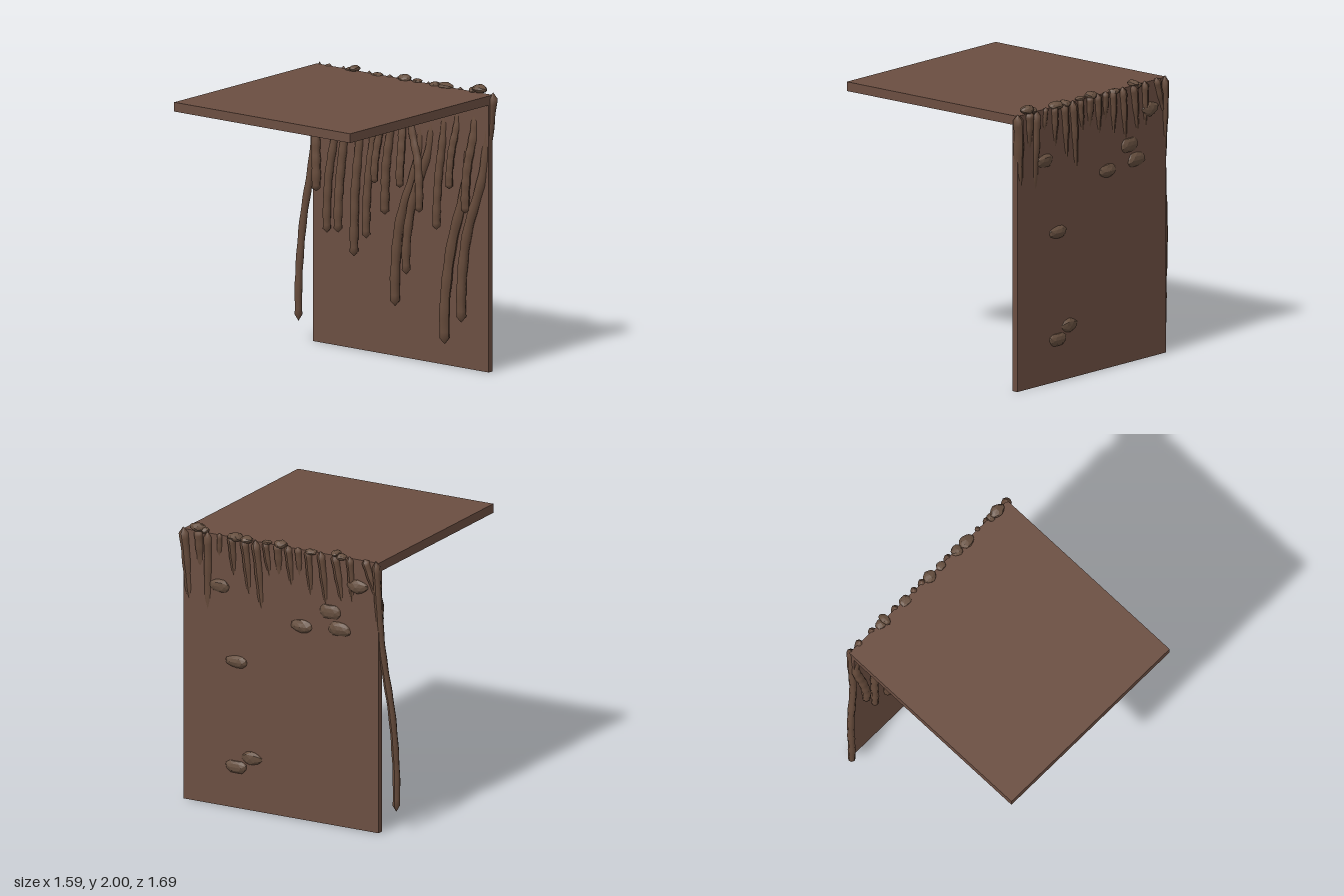
import * as THREE from 'three';

const boardMat = new THREE.MeshStandardMaterial({ color: 0x6b4e41 });
boardMat.name = 'earth brown';
const rootMat = new THREE.MeshStandardMaterial({ color: 0x664b3b });
rootMat.name = 'root brown';
const stoneMat = new THREE.MeshStandardMaterial({ color: 0x664f3f });
stoneMat.name = 'stone brown';

function add(parent, name, geometry, material) {
  const mesh = new THREE.Mesh(geometry, material);
  mesh.name = name;
  parent.add(mesh);
  return mesh;
}

// Tube along a curve whose radius swells from r0 to r1 and rounds off at both ends
function rootGeometry(points, r0, r1) {
  const curve = new THREE.CatmullRomCurve3(points);
  const rings = 40, sides = 8;
  const length = curve.getLength();
  const geo = new THREE.TubeGeometry(curve, rings, 1, sides, false);
  const pos = geo.attributes.position;
  const v = new THREE.Vector3();
  for (let i = 0; i <= rings; i++) {
    const t = i / rings;
    const c = curve.getPointAt(t);
    const r = r0 + (r1 - r0) * Math.min(1, t * 2);
    const d = Math.min(1, Math.min(t, 1 - t) * length / r);
    const radius = r * Math.sqrt(Math.max(0, 1 - (1 - d) ** 2)) * (1 + 0.06 * Math.sin(i * 1.3));
    for (let j = 0; j <= sides; j++) {
      const k = i * (sides + 1) + j;
      v.fromBufferAttribute(pos, k).sub(c).multiplyScalar(radius).add(c);
      pos.setXYZ(k, v.x, v.y, v.z);
    }
  }
  geo.computeVertexNormals();
  return geo;
}

// Irregular faceted pebble, deformed by a smooth rule so its seams stay closed
function stoneGeometry(seed) {
  const geo = new THREE.IcosahedronGeometry(1, 1);
  const pos = geo.attributes.position;
  for (let i = 0; i < pos.count; i++) {
    const x = pos.getX(i), y = pos.getY(i), z = pos.getZ(i);
    const s = 1 + 0.09 * Math.sin(3 * x + seed * 2.1) * Math.cos(4 * y + seed) + 0.06 * Math.sin(5 * z + seed * 3.7);
    pos.setXYZ(i, x * s, y * s, z * s);
  }
  geo.computeVertexNormals();
  return geo;
}

export function createModel() {
  const model = new THREE.Group();
  model.name = 'rootedLedge';

  // Ground slab and side wall
  const slab = add(model, 'topSlab', new THREE.BoxGeometry(1.55, 0.065, 1.55), boardMat);
  slab.position.set(-0.025, 1.9075, 0.035);
  const wall = add(model, 'sideWall', new THREE.BoxGeometry(0.045, 1.939, 1.549), boardMat);
  wall.position.set(0.7275, 0.9695, 0.035);

  // Roots: top z, middle z, end z, end y, top radius, end radius
  const roots = [
    [0.81, 0.74, 0.61, 0.33, 0.034, 0.034],
    [0.69, 0.67, 0.64, 1.1, 0.032, 0.03],
    [0.615, 0.61, 0.47, 0.16, 0.028, 0.036],
    [0.52, 0.53, 0.5, 1.25, 0.018, 0.026],
    [0.43, 0.4, 0.39, 0.95, 0.028, 0.028],
    [0.33, 0.26, 0.13, 0.6, 0.03, 0.03],
    [0.24, 0.16, 0.02, 0.36, 0.03, 0.034],
    [0.16, 0.12, 0.24, 1.05, 0.024, 0.028],
    [0.06, 0.05, 0.07, 1.2, 0.03, 0.028],
    [-0.02, -0.06, -0.07, 0.99, 0.028, 0.03],
    [-0.1, -0.12, -0.15, 1.2, 0.024, 0.026],
    [-0.18, -0.21, -0.23, 0.8, 0.027, 0.028],
    [-0.28, -0.34, -0.34, 0.66, 0.028, 0.03],
    [-0.39, -0.47, -0.47, 0.81, 0.03, 0.03],
    [-0.51, -0.54, -0.58, 0.79, 0.026, 0.028],
    [-0.63, -0.75, -0.67, 1.07, 0.027, 0.032],
    [-0.72, -0.75, -0.82, 0.14, 0.028, 0.026],
  ];
  const rootGroup = new THREE.Group();
  rootGroup.name = 'roots';
  model.add(rootGroup);
  roots.forEach(([z0, z1, z2, yEnd, r0, r1], i) => {
    const top = 1.955, drop = top - yEnd;
    const y = (f) => top - drop * f;
    const endX = 0.655 + 0.008 * Math.sin(i * 2.3);
    add(rootGroup, 'root', rootGeometry([
      new THREE.Vector3(0.755, top, z0),
      new THREE.Vector3(0.748, y(0.1), z0 + (z1 - z0) * 0.25),
      new THREE.Vector3(0.712, y(0.35), z0 + (z1 - z0) * 0.75),
      new THREE.Vector3(0.675, y(0.62), z1 + (z2 - z1) * 0.75),
      new THREE.Vector3(endX, y(0.85), z2),
      new THREE.Vector3(endX, yEnd, z2),
    ], r0, r1), rootMat);
  });

  // Stones: z, y, half depth, half height, half width
  const stones = [
    // set into the outer wall
    [0.52, 1.575, 0.082, 0.05, 0.034], [-0.57, 1.745, 0.088, 0.053, 0.036],
    [-0.355, 1.53, 0.09, 0.053, 0.034], [-0.13, 1.39, 0.092, 0.05, 0.034],
    [-0.425, 1.415, 0.094, 0.053, 0.034], [0.385, 1.05, 0.09, 0.05, 0.034],
    [0.27, 0.375, 0.086, 0.05, 0.034], [0.39, 0.295, 0.088, 0.05, 0.034],
    // along the top edge
    [0.7, 1.968, 0.062, 0.03, 0.042], [0.64, 1.95, 0.026, 0.024, 0.03],
    [0.4, 1.943, 0.06, 0.03, 0.045], [0.31, 1.937, 0.045, 0.028, 0.042],
    [0.15, 1.946, 0.036, 0.016, 0.032], [0.04, 1.95, 0.052, 0.028, 0.043],
    [-0.2, 1.934, 0.045, 0.02, 0.04], [-0.4, 1.955, 0.032, 0.022, 0.046],
    [-0.44, 1.935, 0.038, 0.025, 0.036],
  ];
  const stoneGroup = new THREE.Group();
  stoneGroup.name = 'stones';
  model.add(stoneGroup);
  stones.forEach(([z, y, dz, dy, dx], i) => {
    const stone = add(stoneGroup, 'stone', stoneGeometry(i + 1), stoneMat);
    stone.position.set(0.743, y, z);
    stone.scale.set(dx, dy, dz);
  });

  return model;
}
